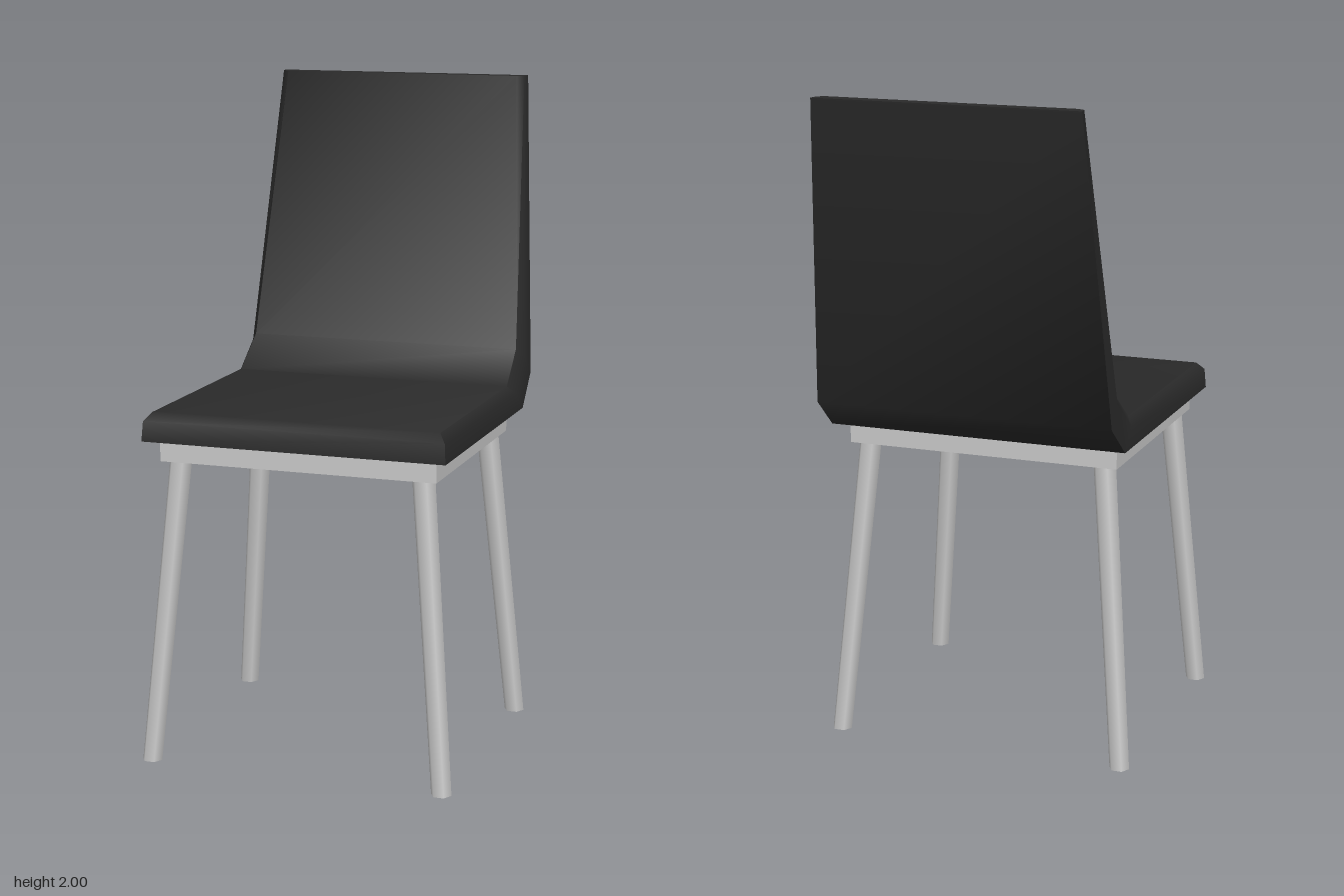
import * as THREE from 'three';
import { toCreasedNormals } from 'three/addons/utils/BufferGeometryUtils.js';

// One-piece seat and backrest: six-point cross-sections lofted from front edge to top edge.
// Each station: half width w, and [z, y] of its underside, side bevel and upper surface.
function shellGeometry() {
  const bevel = 0.025;
  const stations = [
    { w: 0.465, under: [0.525, 0.985], side: [0.52, 1.045], upper: [0.495, 1.07] },
    { w: 0.465, under: [-0.305, 0.985], side: [-0.235, 1.045], upper: [-0.205, 1.07] },
    { w: 0.46, under: [-0.415, 1.08], side: [-0.352, 1.14], upper: [-0.325, 1.165] },
    { w: 0.405, under: [-0.535, 2], side: [-0.505, 2], upper: [-0.49, 2] },
  ];
  const positions = [];
  for (const { w, under, side, upper } of stations) {
    const ring = [
      [-w, under], [w, under], [w - 0.004, side],
      [w - bevel, upper], [bevel - w, upper], [0.004 - w, side],
    ];
    for (const [x, [z, y]] of ring) positions.push(x, y, z);
  }
  const n = 6, index = [];
  for (let s = 0; s < stations.length - 1; s++) {
    for (let i = 0; i < n; i++) {
      const a = s * n + i, b = s * n + (i + 1) % n;
      index.push(a, a + n, b, b, a + n, b + n);
    }
  }
  // Front and top end caps
  const last = (stations.length - 1) * n;
  for (const [p, q, r] of [[0, 1, 2], [0, 2, 5], [5, 2, 3], [5, 3, 4]]) {
    index.push(p, q, r, last + p, last + r, last + q);
  }
  const geometry = new THREE.BufferGeometry();
  geometry.setAttribute('position', new THREE.Float32BufferAttribute(positions, 3));
  geometry.setIndex(index);
  return toCreasedNormals(geometry, 0.9);
}

// Splayed six-sided leg, sheared so both ends stay level.
function legGeometry(foot, head, height) {
  const [fx, fz] = foot, [hx, hz] = head;
  const geometry = new THREE.CylinderGeometry(0.035, 0.031, height, 6, 1, false, Math.PI / 2);
  return geometry.applyMatrix4(new THREE.Matrix4().set(
    1, (hx - fx) / height, 0, (fx + hx) / 2,
    0, 1, 0, height / 2,
    0, (hz - fz) / height, 1, (fz + hz) / 2,
    0, 0, 0, 1,
  ));
}

export function createModel() {
  const chair = new THREE.Group();
  chair.name = 'chair';
  const grey = new THREE.MeshStandardMaterial({ color: 0xcccccc });
  const black = new THREE.MeshStandardMaterial({ color: 0x2a2a2a });

  const add = (name, geometry, material) => {
    const mesh = new THREE.Mesh(geometry, material);
    mesh.name = name;
    chair.add(mesh);
  };

  add('seatAndBackrest', shellGeometry(), black);

  // Plate under the seat
  add('seatFrame', new THREE.BoxGeometry(0.85, 0.066, 0.74).translate(0, 0.952, 0.11), grey);

  // Four legs, mirrored left and right
  for (const [label, sign] of [['Left', 1], ['Right', -1]]) {
    add('front' + label + 'Leg', legGeometry([sign * 0.455, 0.506], [sign * 0.375, 0.44], 0.925), grey);
    add('rear' + label + 'Leg', legGeometry([sign * 0.455, -0.293], [sign * 0.375, -0.22], 0.925), grey);
  }
  return chair;
}
